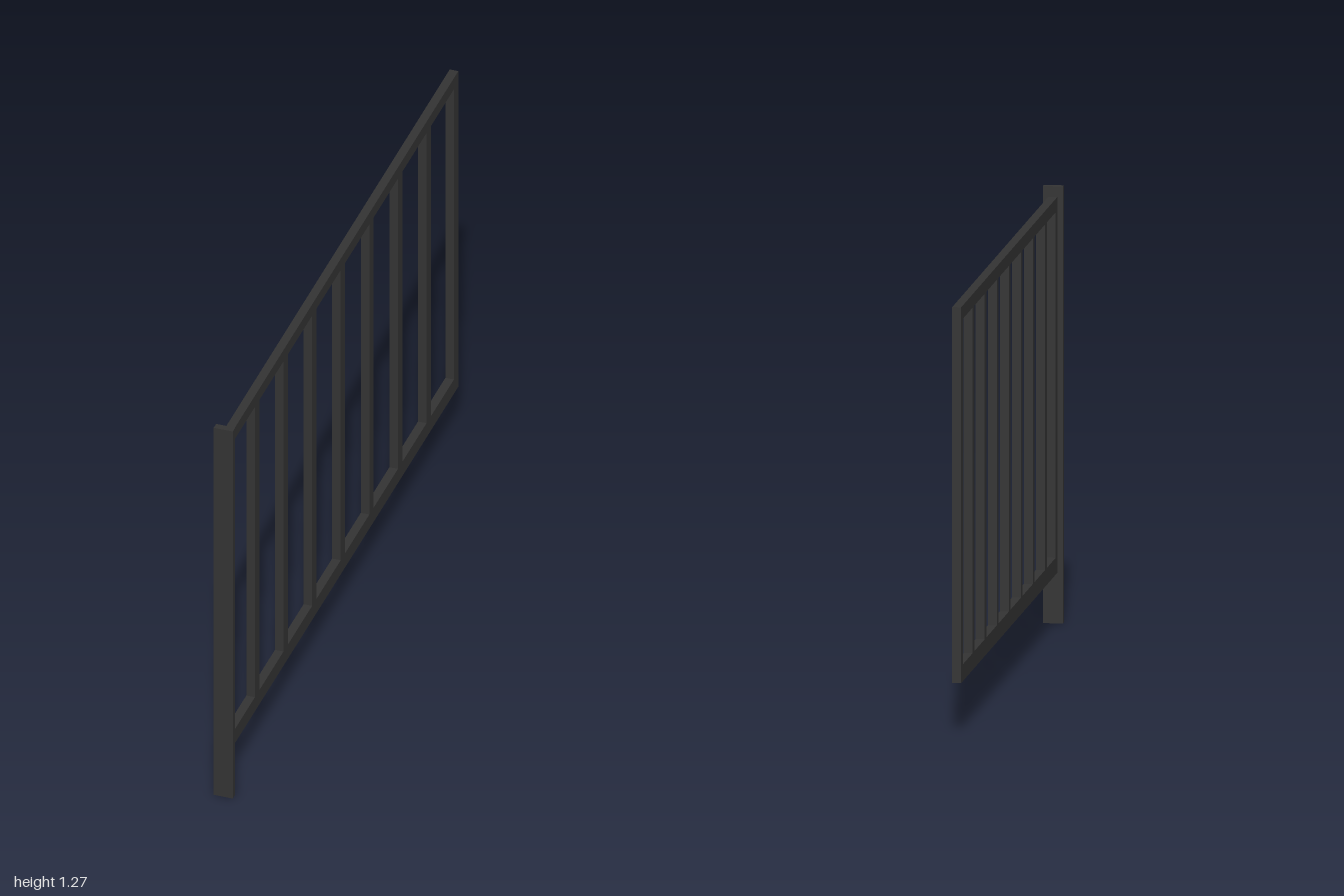
import * as THREE from 'three';

export function createModel() {
  const model = new THREE.Group();
  model.name = 'railingPanel';
  const material = new THREE.MeshStandardMaterial({ color: 0x333333 });

  // Box centred on x = 0, given by its width and its y and z ranges
  function bar(name, width, y0, y1, z0, z1) {
    const mesh = new THREE.Mesh(new THREE.BoxGeometry(width, y1 - y0, z1 - z0), material);
    mesh.position.set(0, (y0 + y1) / 2, (z0 + z1) / 2);
    mesh.name = name;
    model.add(mesh);
  }

  const thickness = 0.026;
  const back = -1;
  const front = 0.98;
  const barDepth = 0.038;

  // Flat mounting post at the front end
  bar('mountingPost', 0.058, 0, 1.27, front - 0.001, 1);

  // Horizontal rails
  bar('topRail', thickness, 1.2, 1.239, back, front);
  bar('bottomRail', thickness, 0.147, 0.196, back, front);

  // Upright bars between the rails, the outer two closing the frame
  const centres = [0.965, 0.744, 0.496, 0.248, 0, -0.248, -0.496, -0.744, -0.981];
  centres.forEach((z, i) => {
    const z0 = Math.max(back, z - barDepth / 2);
    const z1 = Math.min(front, z + barDepth / 2);
    bar(`uprightBar${i + 1}`, thickness, 0.196, 1.2, z0, z1);
  });

  return model;
}
